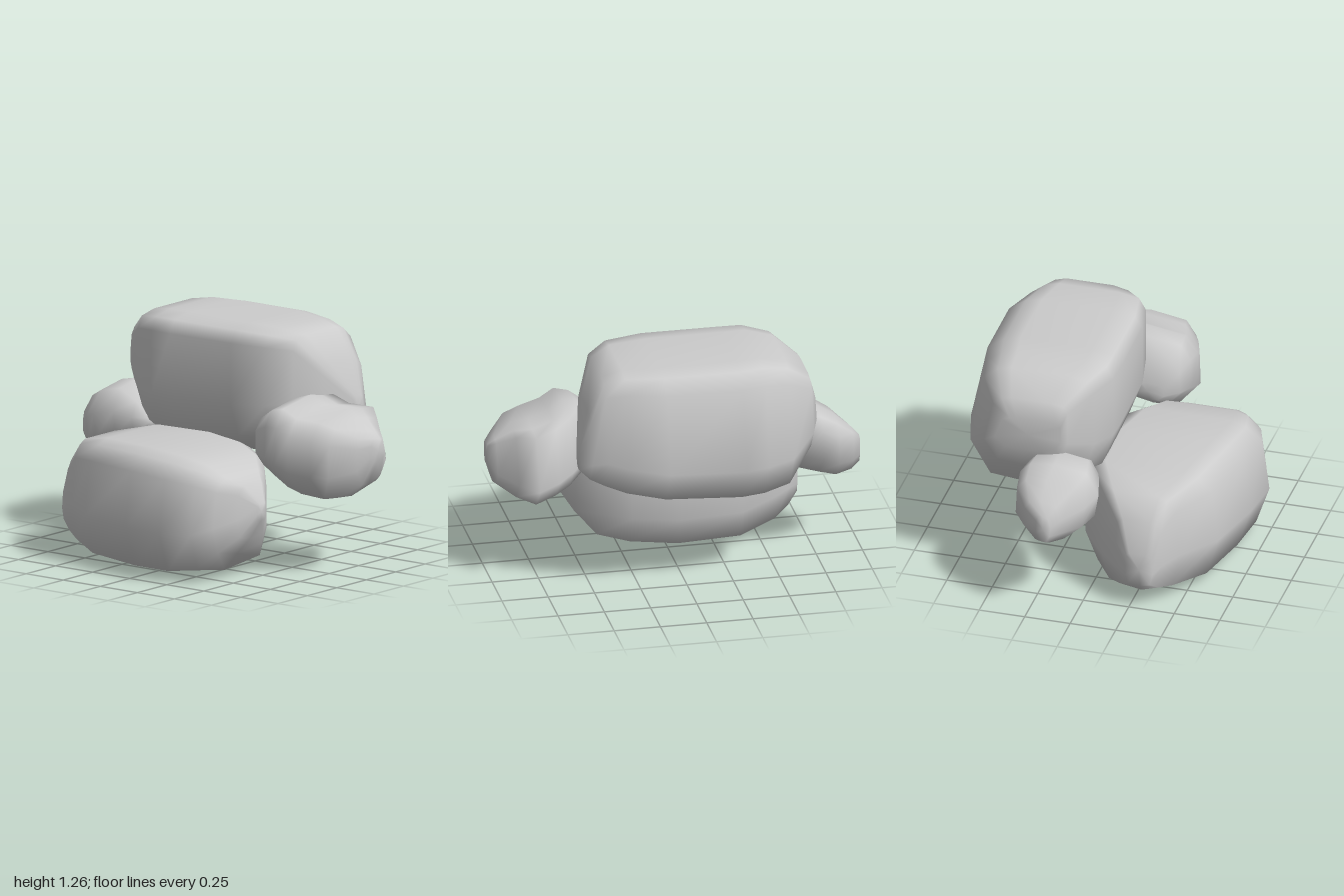
import * as THREE from 'three';

const material = new THREE.MeshStandardMaterial({ color: 0xcccccc });

// Loft a boulder along x: each section is [x, yMin, yMax, zMin, zMax],
// and the profile is a closed outline of [z, y] fractions of that box.
function boulder(name, profile, sections) {
  const n = profile.length, last = sections.length - 1;
  const pos = [], index = [];
  for (const [x, y0, y1, z0, z1] of sections)
    for (const [u, v] of profile)
      pos.push(x, y0 + (y1 - y0) * v, z0 + (z1 - z0) * u);
  // centre points of the two ends
  for (const [x, y0, y1, z0, z1] of [sections[0], sections[last]])
    pos.push(x, (y0 + y1) / 2, (z0 + z1) / 2);
  const startCentre = n * (last + 1), endCentre = startCentre + 1;
  for (let i = 0; i < n; i++) {
    const j = (i + 1) % n;
    for (let s = 0; s < last; s++) {
      const a = s * n + i, b = s * n + j;
      index.push(a, b, a + n, b, b + n, a + n);
    }
    index.push(startCentre, j, i, endCentre, last * n + i, last * n + j);
  }
  const geometry = new THREE.BufferGeometry();
  geometry.setAttribute('position', new THREE.Float32BufferAttribute(pos, 3));
  geometry.setIndex(index);
  geometry.computeVertexNormals();
  const mesh = new THREE.Mesh(geometry, material);
  mesh.name = name;
  return mesh;
}

export function createModel() {
  const group = new THREE.Group();
  group.name = 'rockPile';

  // Large boulder lying at the front
  group.add(boulder('frontBoulder',
    [[.15, 1], [.74, 1], [.84, .96], [.95, .85], [1, .4], [.91, .07],
      [.55, 0], [.09, .05], [0, .3], [0, .65], [.04, .93]],
    [
      [-.75, .14, .33, .23, .38],
      [-.69, .08, .50, .16, .42],
      [-.60, .04, .61, .06, .485],
      [-.39, .01, .655, -.09, .64],
      [-.05, 0, .66, -.11, .72],
      [.20, .01, .65, -.05, .75],
      [.36, .035, .615, .04, .69],
      [.46, .14, .56, .17, .62],
      [.51, .22, .51, .24, .48],
      [.56, .32, .41, .30, .37],
    ]));

  // Large boulder raised at the back
  group.add(boulder('backBoulder',
    [[.33, 1], [.8, 1], [.95, .97], [1, .88], [1, .42], [.92, .17],
      [.72, .03], [.45, 0], [.16, .03], [0, .3], [.11, .88], [.22, .97]],
    [
      [-.70, .84, 1.03, -.50, -.14],
      [-.67, .73, 1.13, -.57, -.11],
      [-.54, .55, 1.235, -.68, 0],
      [-.40, .515, 1.26, -.72, .065],
      [-.27, .515, 1.26, -.755, .07],
      [.14, .54, 1.26, -.755, .07],
      [.34, .57, 1.25, -.68, .03],
      [.45, .61, 1.22, -.62, -.07],
      [.53, .66, 1.05, -.59, -.22],
      [.58, .71, .86, -.51, -.42],
    ]));

  // Medium stone wedged at the left (+x)
  group.add(boulder('leftStone',
    [[.48, 1], [.88, .92], [.99, .72], [1, .3], [.81, .02], [.59, 0],
      [.16, .12], [0, .36], [.16, .94], [.32, .96]],
    [
      [.37, .60, .70, -.06, .12],
      [.41, .56, .84, -.16, .20],
      [.50, .51, .91, -.25, .235],
      [.58, .46, .935, -.34, .25],
      [.66, .43, .89, -.38, .24],
      [.78, .41, .875, -.44, .20],
      [.87, .43, .845, -.33, .16],
      [.96, .50, .78, -.21, .03],
      [1, .62, .745, -.16, -.04],
    ]));

  // Small stone wedged at the right (-x)
  group.add(boulder('rightStone',
    [[.45, 1], [.85, .92], [1, .6], [.95, .25], [.7, 0], [.3, .03],
      [0, .35], [.02, .8], [.15, .96]],
    [
      [-1, .475, .63, -.19, -.11],
      [-.95, .45, .69, -.27, -.06],
      [-.86, .43, .77, -.34, .04],
      [-.77, .45, .82, -.35, .09],
      [-.66, .48, .84, -.32, .06],
      [-.56, .52, .77, -.24, .03],
      [-.49, .60, .67, -.15, -.02],
    ]));

  return group;
}
